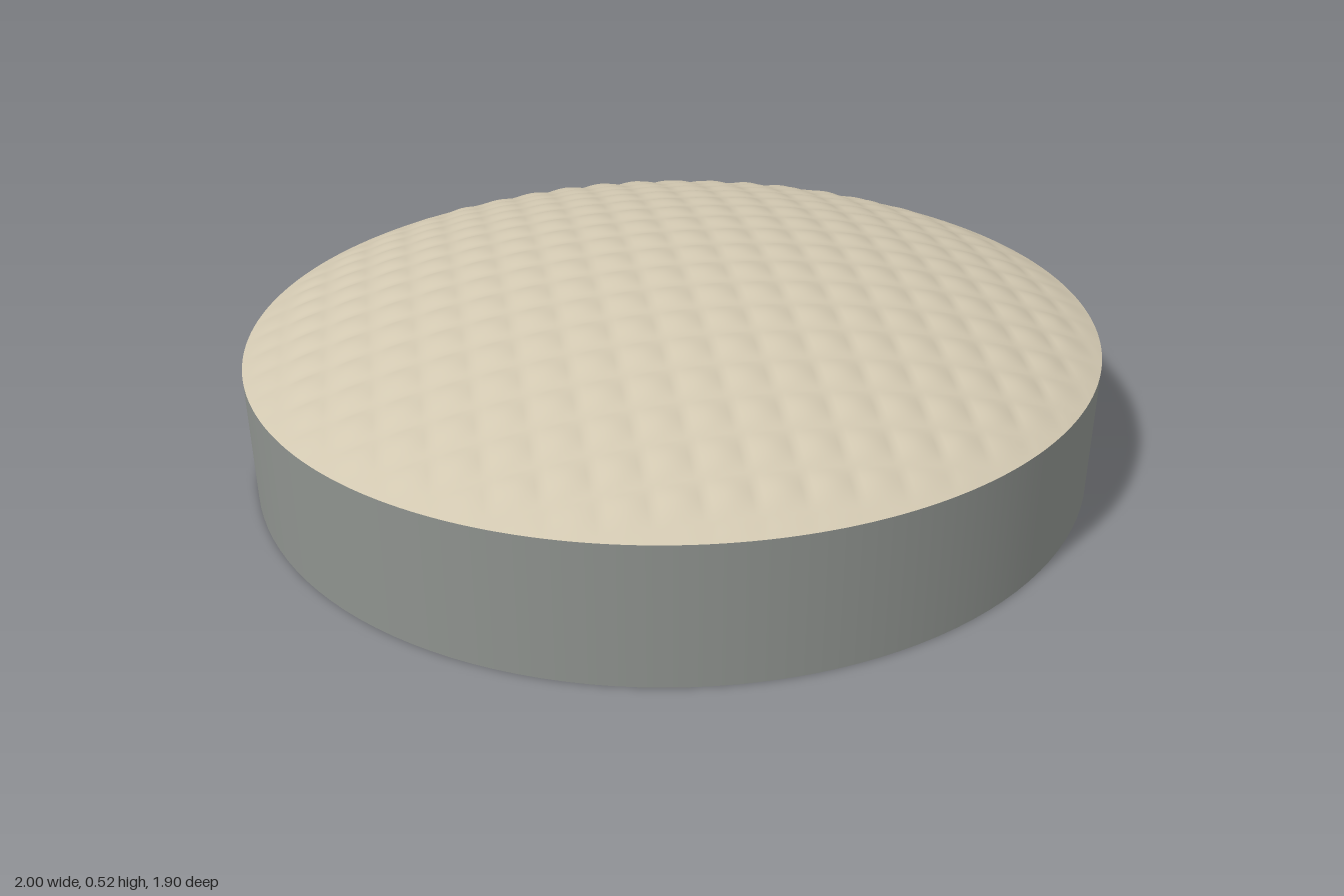
import * as THREE from 'three';

const RX = 1, RZ = 0.95;
const mat = (name, color) => {
  const m = new THREE.MeshStandardMaterial({ color, side: THREE.DoubleSide });
  m.name = name;
  return m;
};
const mats = {
  roof: mat('roof fabric', 0xd2c8b1),
  wall: mat('wall grey', 0x8e928e),
  seats: mat('seat grey', 0x707270),
  dark: mat('concourse black', 0x2c3236),
  grass: mat('grass', 0x587a42),
  fence: mat('fence green', 0x1f5a46),
  screen: mat('dark green', 0x1c4234),
};

// The roof edge tilts down towards the back
const rimY = (z) => 0.31 + 0.026 * z;

function add(group, name, geometry, material) {
  const mesh = new THREE.Mesh(geometry, material);
  mesh.name = name;
  group.add(mesh);
  return mesh;
}

// Flat-shaded band between neighbouring rings of points
function bands(rings, keep = () => true) {
  const pos = [];
  for (let k = 0; k + 1 < rings.length; k++) {
    const a = rings[k], b = rings[k + 1], n = a.length;
    for (let i = 0; i < n; i++) {
      const j = (i + 1) % n;
      if (!keep(a[i], a[j])) continue;
      for (const p of [a[i], a[j], b[j], a[i], b[j], b[i]]) pos.push(p.x, p.y, p.z);
    }
  }
  const g = new THREE.BufferGeometry();
  g.setAttribute('position', new THREE.Float32BufferAttribute(pos, 3));
  g.computeVertexNormals();
  return g;
}

// Shallow dome with a square grid of softly inflated cushions
function roofGeometry() {
  const g = new THREE.PlaneGeometry(2 * RX, 2 * RZ, 160, 152).rotateX(-Math.PI / 2);
  const p = g.attributes.position;
  const cell = 0.1;
  for (let i = 0; i < p.count; i++) {
    let x = p.getX(i), z = p.getZ(i);
    let r = Math.hypot(x / RX, z / RZ);
    if (r > 1) { x /= r; z /= r; r = 1; }
    const puff = Math.abs(Math.sin(Math.PI * x / cell) * Math.sin(Math.PI * z / cell));
    const y = rimY(z) + 0.203 * (1 - r * r) + 0.008 * puff * Math.min(1, (1 - r) * 10);
    p.setXYZ(i, x, y, z);
  }
  g.computeVertexNormals();
  return g;
}

// Oval outer wall with a sloping top edge
function wallGeometry() {
  const g = new THREE.CylinderGeometry(1, 1, 1, 128, 1, true).scale(RX, 1, RZ);
  const p = g.attributes.position;
  for (let i = 0; i < p.count; i++) p.setY(i, p.getY(i) > 0 ? rimY(p.getZ(i)) : 0);
  return g;
}

export function createModel() {
  const model = new THREE.Group();
  model.name = 'domedStadium';
  add(model, 'roof', roofGeometry(), mats.roof);
  add(model, 'outerWall', wallGeometry(), mats.wall);

  // Field outline, mirrored about x = 0
  const half = [[0, 0.58], [0.12, 0.55], [0.17, 0.48], [0.27, 0.31], [0.45, 0.08], [0.58, -0.11],
    [0.59, -0.19], [0.51, -0.31], [0.38, -0.44], [0.21, -0.56], [0, -0.62]];
  const mirrored = half.slice(1, -1).reverse().map(([x, z]) => [-x, z]);
  const curve = new THREE.CatmullRomCurve3(
    [...half, ...mirrored].map(([x, z]) => new THREE.Vector3(x, 0.01, z)), true, 'centripetal');
  const outline = curve.getSpacedPoints(144).slice(0, -1);
  const lift = (ring, y) => ring.map((p) => new THREE.Vector3(p.x, y, p.z));

  const shape = new THREE.Shape(outline.map((p) => new THREE.Vector2(p.x, -p.z)));
  add(model, 'field', new THREE.ShapeGeometry(shape).rotateX(-Math.PI / 2), mats.grass).position.y = 0.01;

  // Low wall around the field: green in the outfield, dark behind home
  const fenceTop = 0.045;
  const wallRings = [outline, lift(outline, fenceTop)];
  const isOutfield = (a) => a.z < 0.12;
  add(model, 'outfieldFence', bands(wallRings, isOutfield), mats.fence);
  add(model, 'backstopWall', bands(wallRings, (a) => !isOutfield(a)), mats.dark);

  // Stepped seating from the field wall out to a circle set slightly back
  const rows = 16, bowlR = 0.82, bowlZ = -0.02, bowlHigh = 0.2;
  const ringAt = (t, y) => outline.map((p) => {
    const s = bowlR / Math.hypot(p.x, p.z);
    return new THREE.Vector3(p.x * (1 + (s - 1) * t), y, p.z * (1 + (s - 1) * t) + bowlZ * t);
  });
  const stepRings = [];
  for (let k = 0; k <= rows; k++) {
    const y = fenceTop + (bowlHigh - fenceTop) * (k / rows) ** 1.2;
    stepRings.push(ringAt(k / rows, y));
    if (k < rows) stepRings.push(ringAt((k + 1) / rows, y));
  }
  const inGap = (p) => p.z < -0.4 && Math.abs(p.x) < 0.12;
  add(model, 'seating', bands(stepRings, (a, b) => !(inGap(a) && inGap(b))), mats.seats);

  // Sloping dark screen in the gap beyond centre field
  const eye = add(model, 'centreFieldScreen', new THREE.BoxGeometry(0.25, 0.012, 0.26), mats.screen);
  eye.position.set(0, 0.115, -0.725);
  eye.rotation.x = 0.6;

  // Concourse between the seating and the outer wall
  const outer = outline.map((p) => {
    const r = Math.hypot(p.x, p.z);
    const z = 0.945 * p.z / r;
    return new THREE.Vector3(0.995 * p.x / r, 0.215 + 0.02 * z, z);
  });
  add(model, 'concourse', bands([ringAt(1, bowlHigh), outer]), mats.dark);

  // Dugouts along both foul lines
  for (const s of [-1, 1]) {
    const dugout = add(model, s > 0 ? 'leftDugout' : 'rightDugout',
      new THREE.BoxGeometry(0.16, 0.04, 0.03), mats.screen);
    dugout.position.set(s * 0.335, 0.035, 0.26);
    dugout.rotation.y = s * 0.87;
  }
  return model;
}
